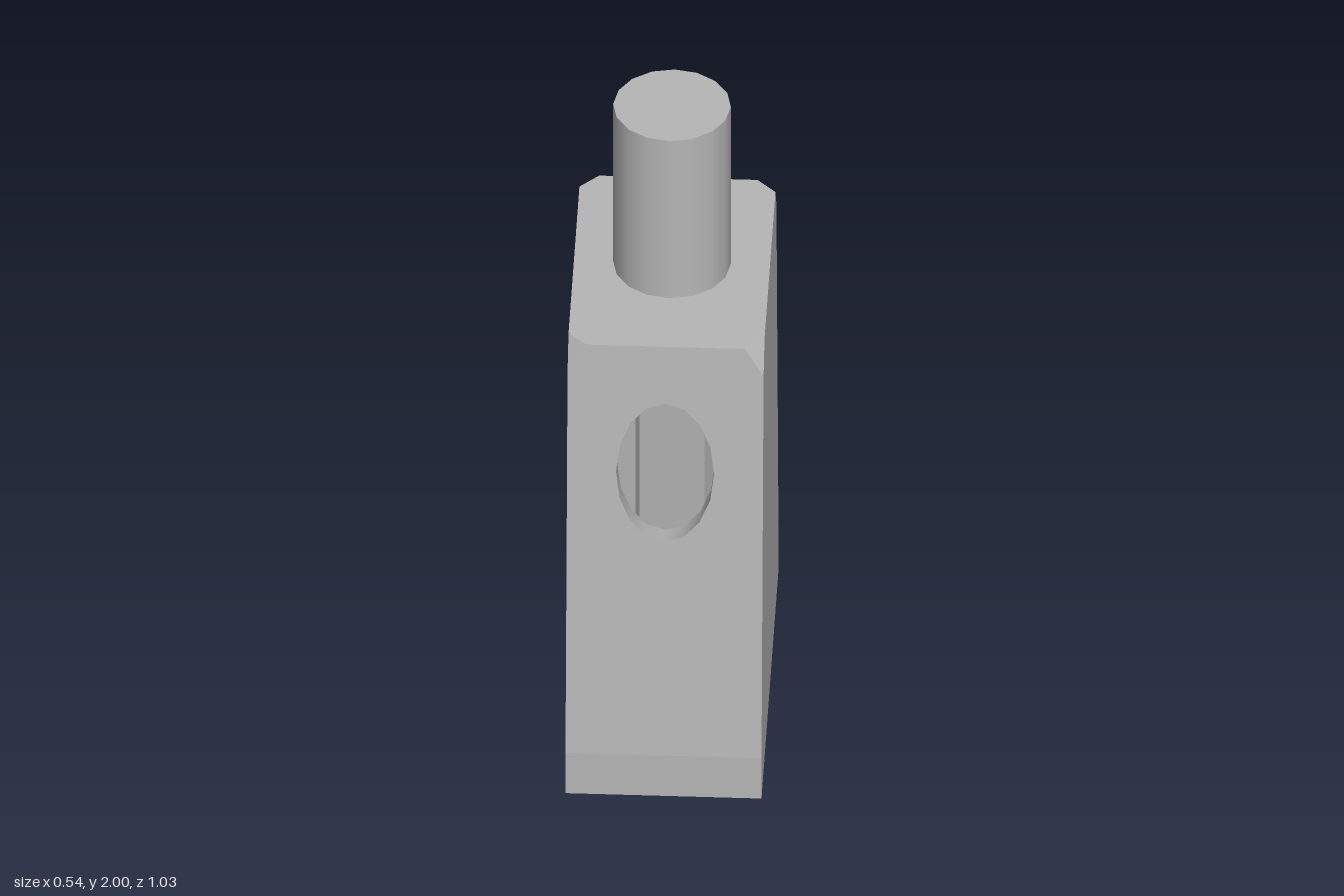
import * as THREE from 'three';

const W = 0.27, TOP = 1.455, CUT_Y = 1.37, BEND = 0.14, CUT = 0.052;
const Z_BASE = 0.517, Z_TOP = 0.382, CEILING = 1.36, SIDES = 16;
const HOLE = { y: 1.05, rx: 0.135, ry: 0.222 };

// depth of the outer and the inner end wall at a height
const zOuter = (y) => (y < BEND ? Z_BASE : Z_BASE + (Z_TOP - Z_BASE) * (y - BEND) / (TOP - BEND));
const zInner = (y) => 0.435 - 0.07 * y;

const shapeOf = (pts) => new THREE.Shape(pts.map(([x, y]) => new THREE.Vector2(x, y)));

function ellipse(shift) {
  return Array.from({ length: SIDES }, (_, i) => {
    const a = (i / SIDES) * Math.PI * 2;
    return [HOLE.rx * Math.cos(a), HOLE.y + shift + HOLE.ry * Math.sin(a)];
  });
}

// flat outline bent into place by a rule
function face(shape, map, flip = false) {
  const g = new THREE.ShapeGeometry(shape);
  const p = g.attributes.position;
  for (let i = 0; i < p.count; i++) p.setXYZ(i, ...map(p.getX(i), p.getY(i)));
  if (flip) g.index.array.reverse();
  g.computeVertexNormals();
  return g;
}

function fromTriangles(points, index) {
  const g = new THREE.BufferGeometry();
  g.setAttribute('position', new THREE.Float32BufferAttribute(points.flat(), 3));
  if (index) g.setIndex(index);
  g.computeVertexNormals();
  return g;
}

// cavity cross-section, with a slanted rib in the middle of each long side
function cavityOutline(y) {
  const e = zInner(y);
  const right = [[0.163, -e], [0.163, -0.178], [0.095, -0.12], [0.095, 0.12], [0.163, 0.178], [0.163, e]];
  return [...right, ...right.map(([x, z]) => [-x, -z])];
}

export function createModel() {
  const model = new THREE.Group();
  const gray = new THREE.MeshStandardMaterial({ color: 0xb6b6b6, side: THREE.DoubleSide });
  gray.name = 'plain gray';
  const add = (name, geometry, turn = 0) => {
    const mesh = new THREE.Mesh(geometry, gray);
    mesh.name = name;
    mesh.rotation.y = turn;
    model.add(mesh);
  };

  const shift = -0.012;
  const rimOut = ellipse(0), rimIn = ellipse(shift);

  // sloping end wall with an oval opening
  const endShape = shapeOf([[-W, BEND], [W, BEND], [W, CUT_Y], [W - CUT, TOP], [-W + CUT, TOP], [-W, CUT_Y]]);
  endShape.holes.push(new THREE.Path(shapeOf(rimOut).getPoints()));
  const endWall = face(endShape, (x, y) => [x, y, zOuter(y)]);
  const footShape = shapeOf([[-W, 0], [W, 0], [W, BEND], [-W, BEND]]);
  const foot = face(footShape, (x, y) => [x, y, Z_BASE]);

  // inner end wall
  const innerShape = shapeOf([[-0.163, 0], [0.163, 0], [0.163, CEILING], [-0.163, CEILING]]);
  innerShape.holes.push(new THREE.Path(shapeOf(rimIn).getPoints()));
  const innerEnd = face(innerShape, (x, y) => [x, y, zInner(y)], true);

  // oval tunnel joining both wall faces
  const rimPoints = [
    ...rimOut.map(([x, y]) => [x, y, zOuter(y)]),
    ...rimIn.map(([x, y]) => [x, y, zInner(y)]),
  ];
  const rimIndex = [];
  for (let i = 0; i < SIDES; i++) {
    const j = (i + 1) % SIDES;
    rimIndex.push(i, j, j + SIDES, i, j + SIDES, i + SIDES);
  }
  const tunnel = fromTriangles(rimPoints, rimIndex);

  // long side wall
  const zCut = zOuter(CUT_Y), zt = Z_TOP - CUT;
  const sideShape = shapeOf([
    [-Z_BASE, 0], [Z_BASE, 0], [Z_BASE, BEND], [zCut, CUT_Y],
    [zt, TOP], [-zt, TOP], [-zCut, CUT_Y], [-Z_BASE, BEND],
  ]);
  const side = face(sideShape, (a, y) => [W, y, -a]);

  [['front', 0], ['back', Math.PI]].forEach(([end, turn]) => {
    add(`${end}Wall`, endWall, turn);
    add(`${end}Foot`, foot, turn);
    add(`${end}InnerWall`, innerEnd, turn);
    add(`${end}OvalTunnel`, tunnel, turn);
  });
  add('leftWall', side);
  add('rightWall', side, Math.PI);

  // top plate, cut off at the corners
  const wt = W - CUT;
  const topShape = shapeOf([
    [-wt, -Z_TOP], [wt, -Z_TOP], [W, -zt], [W, zt], [wt, Z_TOP], [-wt, Z_TOP], [-W, zt], [-W, -zt],
  ]);
  add('topPlate', face(topShape, (x, b) => [x, TOP, -b]));

  // triangular corner cuts
  const corners = [];
  for (const sx of [1, -1]) for (const sz of [1, -1]) {
    const a = [sx * wt, TOP, sz * Z_TOP], b = [sx * W, TOP, sz * zt], c = [sx * W, CUT_Y, sz * zCut];
    corners.push(...(sx * sz > 0 ? [a, c, b] : [a, b, c]));
  }
  add('cornerCuts', fromTriangles(corners));

  // bottom rim around the cavity
  const low = cavityOutline(0), high = cavityOutline(CEILING);
  const rimShape = shapeOf([[-W, -Z_BASE], [W, -Z_BASE], [W, Z_BASE], [-W, Z_BASE]]);
  rimShape.holes.push(new THREE.Path(shapeOf(low).getPoints()));
  add('bottomRim', face(rimShape, (x, b) => [x, 0, -b], true));
  add('cavityCeiling', face(shapeOf(high), (x, b) => [x, CEILING, -b], true));

  // cavity side walls and ribs
  const walls = [];
  for (let i = 0; i < low.length; i++) {
    if (i % 6 === 5) continue; // the end walls are separate
    const j = (i + 1) % low.length;
    const at = (loop, k, y) => [loop[k][0], y, -loop[k][1]];
    const b0 = at(low, i, 0), b1 = at(low, j, 0), t0 = at(high, i, CEILING), t1 = at(high, j, CEILING);
    walls.push(b0, t1, b1, b0, t0, t1);
  }
  add('cavityWallsAndRibs', fromTriangles(walls));

  // round post
  const post = new THREE.CylinderGeometry(0.162, 0.162, 2 - TOP, SIDES);
  post.translate(0, (2 + TOP) / 2, 0);
  add('post', post);

  return model;
}
